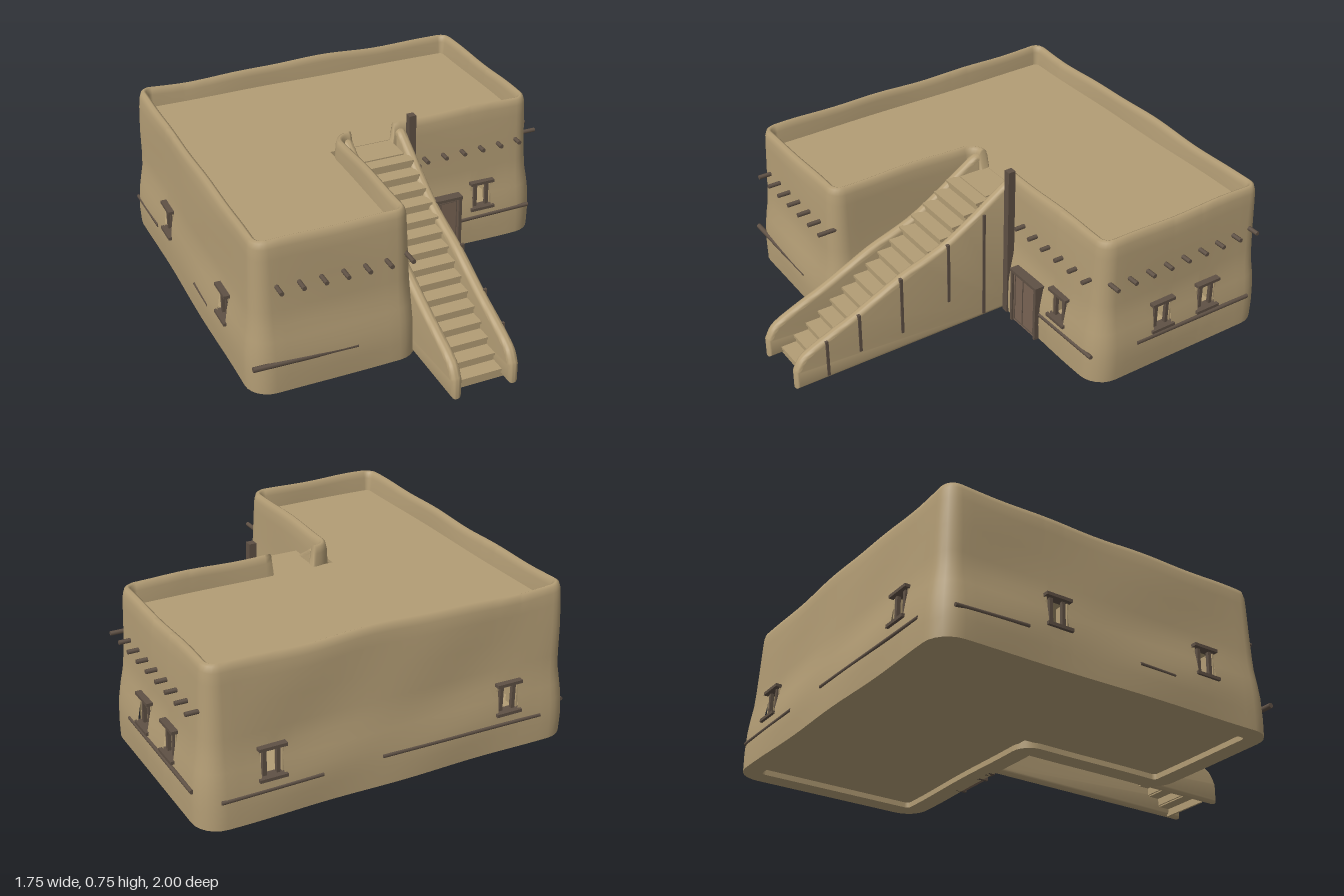
import * as THREE from 'three';
import { toCreasedNormals } from 'three/addons/utils/BufferGeometryUtils.js';

const mat = (name, color) => new THREE.MeshStandardMaterial({ name, color });

export function createModel() {
  const model = new THREE.Group();
  model.name = 'adobeHouse';
  const plaster = mat('plaster', 0xb39d75);
  const wood = mat('wood', 0x5f5145);
  const doorWood = mat('doorWood', 0x796454);

  const add = (name, geo, material, x = 0, y = 0, z = 0, parent = model) => {
    const m = new THREE.Mesh(geo, material);
    m.name = name;
    m.position.set(x, y, z);
    parent.add(m);
    return m;
  };
  const box = (name, w, h, d, material, x, y, z, parent) =>
    add(name, new THREE.BoxGeometry(w, h, d), material, x, y, z, parent);
  const pole = (name, a, b, r) => {
    const va = new THREE.Vector3(...a), vb = new THREE.Vector3(...b);
    const m = add(name, new THREE.CylinderGeometry(r, r, va.distanceTo(vb), 8), wood);
    m.position.copy(va).add(vb).multiplyScalar(0.5);
    m.quaternion.setFromUnitVectors(new THREE.Vector3(0, 1, 0), vb.sub(va).normalize());
  };

  // L-shaped outline, corner by corner; edge i runs from corner i to i + 1
  const corners = [[-0.835, -0.96], [0.82, -0.96], [0.82, -0.09], [-0.135, -0.09], [-0.135, 0.63], [-0.835, 0.63]];
  const N = corners.length;
  const corner = i => corners[(i + N) % N];
  const dir = i => {
    const [ax, az] = corner(i), [bx, bz] = corner(i + 1);
    return [Math.sign(bx - ax), Math.sign(bz - az)];
  };
  const normal = i => { const [dx, dz] = dir(i); return [dz, -dx]; };
  const turn = i => { // +1 convex, -1 concave
    const a = dir(i - 1), b = dir(i);
    return a[0] * b[1] - a[1] * b[0];
  };
  const radius = i => (turn(i) > 0 ? 0.075 : 0.035);

  // windows: edge and the coordinate along it
  const windows = [[0, 0.55], [0, -0.545], [1, -0.41], [1, -0.66], [2, 0.56], [5, -0.455], [5, 0.3]];
  const HALF = 0.048, LOW = 0.18, HIGH = 0.31;

  // samples along the outline, with outward normals
  const path = [];
  for (let i = 0; i < N; i++) {
    const [cx, cz] = corner(i), s = turn(i), r = radius(i);
    const di = dir(i - 1), ni = normal(i - 1), no = normal(i), d = dir(i);
    const ox = cx - di[0] * r - s * r * ni[0], oz = cz - di[1] * r - s * r * ni[1];
    for (let k = 0; k <= 6; k++) {
      const a = (k / 6) * Math.PI / 2, c = Math.cos(a), q = Math.sin(a);
      const nx = ni[0] * c + no[0] * q, nz = ni[1] * c + no[1] * q;
      path.push({ x: ox + s * r * nx, z: oz + s * r * nz, nx, nz, edge: -1, t: 0 });
    }
    const ax = d[0] !== 0 ? 0 : 1, sign = d[ax];
    const from = corner(i)[ax] + sign * r, to = corner(i + 1)[ax] - sign * radius(i + 1);
    const stops = windows.filter(w => w[0] === i).flatMap(w => [w[1] - HALF, w[1] + HALF]);
    if (i === 2) stops.push(0.12, 0.11, -0.08, -0.09);
    const steps = Math.round(Math.abs(to - from) / 0.05);
    const fill = [];
    for (let k = 1; k < steps; k++) {
      const t = from + (to - from) * k / steps;
      if (stops.every(v => Math.abs(v - t) > 0.015)) fill.push(t);
    }
    [...stops, ...fill].sort((a, b) => sign * (a - b)).forEach(t => path.push({
      x: ax === 0 ? t : cx, z: ax === 1 ? t : cz, nx: no[0], nz: no[1], edge: i, t,
    }));
  }
  const inWindow = p => windows.some(w => w[0] === p.edge && Math.abs(p.t - w[1]) < HALF + 0.001);
  const inGap = p => p.edge === 2 && p.t < 0.111 && p.t > -0.081;

  // sweeps a wall profile of [offset, height] rows round the outline, leaving window openings
  function skin(name, rows) {
    const pos = [], index = [], R = rows.length, P = path.length;
    for (const p of path) for (const [off, h] of rows) {
      const o = off + 0.004 * Math.sin(9 * p.x + 8 * h + 2) * Math.cos(7 * p.z - 6 * h);
      let y = h > 0.6 ? h + 0.007 * Math.sin(6 * p.x + 1.5) * Math.cos(5 * p.z - 1.3) + 0.003 * Math.sin(13 * (p.x - p.z)) : h;
      if (inGap(p)) y = Math.min(y, 0.592);
      pos.push(p.x + p.nx * o, y, p.z + p.nz * o);
    }
    for (let i = 0; i < P; i++) {
      const i2 = (i + 1) % P;
      const mid = { edge: path[i].edge === path[i2].edge ? path[i].edge : -1, t: (path[i].t + path[i2].t) / 2 };
      for (let j = 0; j < R - 1; j++) {
        const my = (rows[j][1] + rows[j + 1][1]) / 2;
        if (my > LOW && my < HIGH && inWindow(mid)) continue;
        const a = i * R + j, b = a + 1, c = i2 * R + j, d = c + 1;
        index.push(a, b, c, b, d, c);
      }
    }
    const g = new THREE.BufferGeometry();
    g.setAttribute('position', new THREE.Float32BufferAttribute(pos, 3));
    g.setIndex(index);
    g.computeVertexNormals();
    add(name, g, plaster);
  }
  skin('outerWall', [[0.032, 0], [0.035, 0.08], [0.033, 0.13], [0.03, LOW], [0.02, 0.245], [0.008, HIGH], [0.003, 0.38],
    [0, 0.5], [-0.004, 0.61], [-0.008, 0.66], [-0.016, 0.685], [-0.028, 0.693], [-0.04, 0.686], [-0.047, 0.66], [-0.053, 0.59]]);
  skin('innerWall', [[-0.055, 0.59], [-0.055, HIGH], [-0.055, LOW], [-0.055, 0]]);
  skin('wallFoot', [[-0.055, 0], [0.032, 0]]);

  // roof and floor slabs
  function slab(name, y) {
    const inset = corners.map(([x, z], i) => {
      const a = normal(i - 1), b = normal(i);
      return new THREE.Vector2(x - 0.045 * (a[0] + b[0]), -(z - 0.045 * (a[1] + b[1])));
    });
    const g = new THREE.ExtrudeGeometry(new THREE.Shape(inset), { depth: 0.015, bevelEnabled: false });
    g.rotateX(-Math.PI / 2);
    add(name, g, plaster, 0, y, 0);
  }
  slab('roof', 0.585);
  slab('floor', 0.025);

  // windows: plastered reveal with timber lintel, sill and posts
  const facing = [Math.PI, Math.PI / 2, 0, 0, 0, -Math.PI / 2];
  for (const [edge, c] of windows) {
    const w = new THREE.Group();
    w.name = 'window';
    const [cx, cz] = corner(edge);
    if (dir(edge)[0] !== 0) w.position.set(c, 0.245, cz);
    else w.position.set(cx, 0.245, c);
    w.rotation.y = facing[edge];
    for (const s of [-1, 1]) {
      box('reveal', 0.008, 0.14, 0.07, plaster, s * (HALF + 0.003), 0, -0.021, w);
      box('reveal', 0.1, 0.008, 0.07, plaster, 0, s * 0.068, -0.021, w);
      box('windowPost', 0.016, 0.13, 0.016, wood, s * 0.03, 0, 0.01, w);
    }
    box('lintel', 0.122, 0.014, 0.045, wood, 0, 0.066, 0.012, w);
    box('sill', 0.122, 0.014, 0.05, wood, 0, -0.066, 0.018, w);
    model.add(w);
  }

  // roof beam ends
  for (let k = 0; k < 7; k++) pole('beamEnd', [-0.735 + k * 0.095, 0.49, 0.58], [-0.735 + k * 0.095, 0.49, 0.69], 0.01);
  for (let k = 0; k < 6; k++) pole('beamEnd', [0.265 + k * 0.095, 0.49, -0.14], [0.265 + k * 0.095, 0.49, -0.045], 0.01);
  for (let k = 0; k < 9; k++) pole('beamEnd', [0.77, 0.49, -0.137 - k * 0.095], [0.87, 0.49, -0.137 - k * 0.095], 0.01);

  // timbers half sunk in the lower walls
  pole('wallTimber', [-0.86, 0.145, 0.66], [-0.4, 0.13, 0.655], 0.012);
  pole('wallTimber', [0.43, 0.132, -0.06], [0.81, 0.138, -0.06], 0.01);
  pole('wallTimber', [0.852, 0.155, -0.27], [0.852, 0.148, -0.9], 0.01);
  pole('wallTimber', [0.77, 0.125, -0.99], [0.33, 0.13, -0.99], 0.009);
  pole('wallTimber', [0.06, 0.135, -0.99], [-0.71, 0.125, -0.99], 0.009);
  pole('wallTimber', [-0.867, 0.13, -0.93], [-0.867, 0.14, -0.6], 0.009);
  pole('wallTimber', [-0.867, 0.135, -0.06], [-0.867, 0.13, 0.12], 0.008);

  // door with frame and panels
  const door = new THREE.Group();
  door.name = 'door';
  door.position.set(0.345, 0, -0.06);
  box('doorLeaf', 0.165, 0.265, 0.03, doorWood, 0, 0.1335, 0, door);
  for (const s of [-1, 1]) box('doorJamb', 0.014, 0.275, 0.05, wood, s * 0.088, 0.1375, 0, door);
  box('doorLintel', 0.195, 0.014, 0.056, wood, 0, 0.273, 0, door);
  box('doorSeam', 0.004, 0.245, 0.004, wood, -0.012, 0.135, 0.016, door);
  for (const x of [-0.07, 0.07]) box('doorSeam', 0.003, 0.245, 0.004, wood, x, 0.135, 0.016, door);
  for (const y of [0.015, 0.255]) box('doorSeam', 0.14, 0.003, 0.004, wood, 0, y, 0.016, door);
  model.add(door);

  // tall corner post
  box('cornerPost', 0.033, 0.74, 0.035, wood, 0.186, 0.37, -0.068);

  // rounded walls either side of the stair
  const crest = new THREE.SplineCurve([[1, 0.09], [0.96, 0.152], [0.85, 0.207], [0.69, 0.272], [0.48, 0.372],
    [0.24, 0.462], [0, 0.612], [-0.07, 0.658], [-0.1, 0.665]].map(p => new THREE.Vector2(...p)));
  const side = new THREE.Shape([new THREE.Vector2(-0.1, 0), new THREE.Vector2(1, 0), ...crest.getPoints(36)]);
  for (const x of [-0.115, 0.145]) {
    const b = 0.02, d = 0.008;
    const g = new THREE.ExtrudeGeometry(side, {
      depth: d, bevelEnabled: true, bevelThickness: b, bevelSize: b, bevelOffset: -b, bevelSegments: 4,
    });
    g.translate(0, 0, -d / 2);
    g.rotateY(-Math.PI / 2);
    add('stairWall', toCreasedNormals(g, 0.8), plaster, x, 0, 0);
  }

  // upright poles set in the outer stair wall
  for (const [z, y0, y1] of [[0.85, 0.02, 0.2], [0.69, 0.08, 0.27], [0.48, 0.09, 0.375], [0.24, 0.16, 0.46], [0.055, 0.02, 0.55]])
    box('stairPole', 0.016, y1 - y0, 0.013, wood, 0.167, (y0 + y1) / 2, z);

  // steps, open underneath, and the landing
  const STEPS = 15, run = 0.93 / STEPS, rise = 0.592 / STEPS;
  for (let k = 0; k < STEPS; k++) {
    const front = 0.935 - k * run, top = (k + 1) * rise;
    box('tread', 0.24, 0.012, run + 0.012, plaster, 0.013, top - 0.006, front - run / 2);
    box('riser', 0.24, rise, 0.01, plaster, 0.013, top - rise / 2 - 0.006, front - 0.008);
  }
  box('landing', 0.2, 0.012, 0.17, plaster, 0.013, 0.592, -0.075);

  return model;
}
